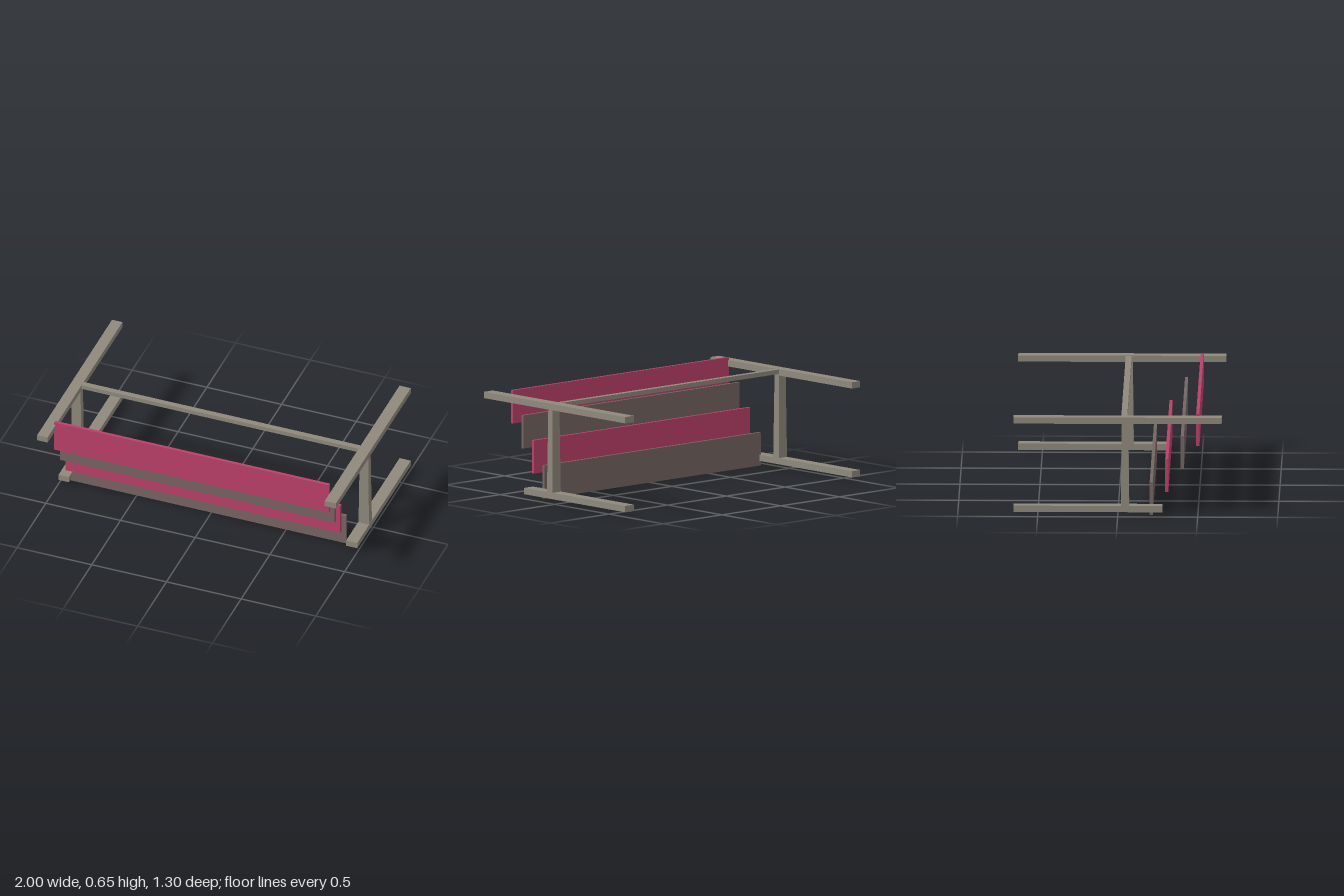
import * as THREE from 'three';

const paint = (name, color) => {
  const m = new THREE.MeshStandardMaterial({ color });
  m.name = name;
  return m;
};

export function createModel() {
  const group = new THREE.Group();
  group.name = 'slattedFrame';
  const frame = paint('warm grey', 0x8f897c);
  const red = paint('raspberry', 0xbc4069);
  const brown = paint('grey brown', 0x746563);

  const add = (name, geometry, material, x, y, z) => {
    const mesh = new THREE.Mesh(geometry, material);
    mesh.name = name;
    mesh.position.set(x, y, z);
    group.add(mesh);
  };
  // Box given by its lower and upper limits on each axis
  const addBox = (name, material, [x0, x1], [y0, y1], [z0, z1]) =>
    add(name, new THREE.BoxGeometry(x1 - x0, y1 - y0, z1 - z0), material,
      (x0 + x1) / 2, (y0 + y1) / 2, (z0 + z1) / 2);

  // Post that narrows towards the top
  const post = new THREE.BoxGeometry(0.07, 0.525, 0.052);
  const p = post.attributes.position;
  for (let i = 0; i < p.count; i++) {
    if (p.getY(i) > 0) {
      p.setX(i, p.getX(i) * 0.82);
      p.setZ(i, p.getZ(i) * 0.78);
    }
  }
  post.computeVertexNormals();

  // Side frames: foot, post and long top rail
  for (const [side, s] of [['left', 1], ['right', -1]]) {
    const span = s > 0 ? [0.925, 1] : [-1, -0.93];
    addBox(side + 'Foot', frame, span, [0.03, 0.07], [-0.65, 0.28]);
    addBox(side + 'TopRail', frame, span, [0.593, 0.633], [-0.65, 0.65]);
    add(side + 'Post', post, frame, s * 0.963, 0.3315, 0.046);
  }

  // Bar joining the two top rails
  addBox('crossBar', frame, [-0.93, 0.925], [0.603, 0.631], [0.022, 0.059]);

  // Four upright slats, stepping up and forward
  for (let i = 0; i < 4; i++) {
    const y = i * 0.1467, z = 0.209 + i * 0.097;
    addBox('slat' + (i + 1), i % 2 ? red : brown,
      [-0.94, 0.9], [y, y + 0.21], [z - 0.01, z + 0.01]);
  }
  return group;
}
